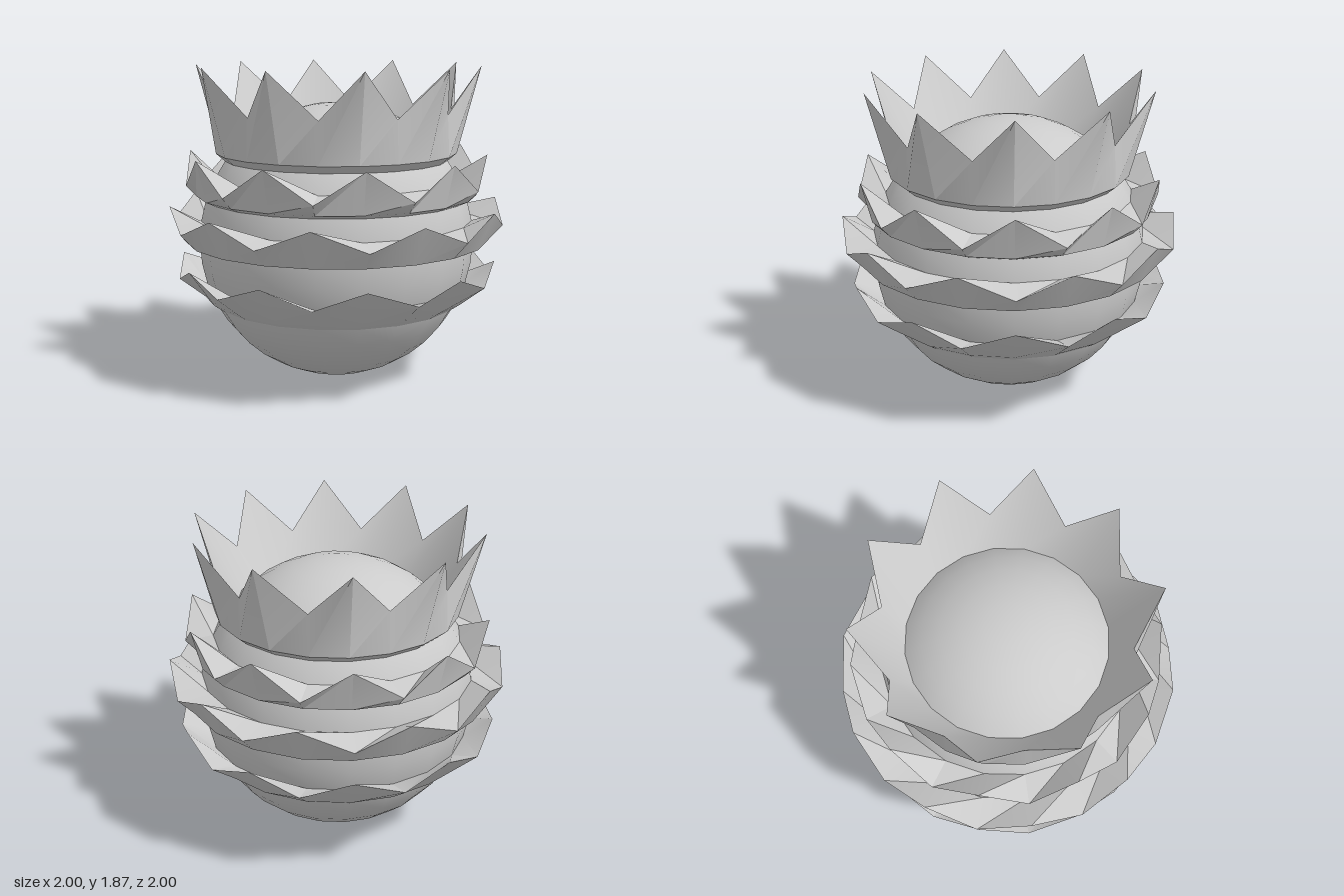
import * as THREE from 'three';
import { toCreasedNormals } from 'three/addons/utils/BufferGeometryUtils.js';

const SEG = 20;      // sides around, also rows of the ball
const R = 0.825;     // ball radius

// Point on the ball at a given row above the equator: [radius, y]
const ballRow = (k) => {
  const a = (k * Math.PI) / SEG;
  return [R * Math.cos(a), R + R * Math.sin(a)];
};

// Zigzag collar: starts on one ball row, flares out, rises to points and valleys,
// then slopes back in to the next ball row
function collarGeometry({ row, base, tip, valley, shift }) {
  const pos = [];
  for (let i = 0; i < SEG; i++) {
    const a = (i * 2 * Math.PI) / SEG;
    const rim = (i + shift) % 2 === 0 ? tip : valley;
    for (const [r, y] of [ballRow(row), base, rim, ballRow(row + 1)]) {
      pos.push(r * Math.sin(a), y, r * Math.cos(a));
    }
  }
  const index = [];
  for (let i = 0; i < SEG; i++) {
    for (let j = 0; j < 3; j++) {
      const a = i * 4 + j;
      const b = ((i + 1) % SEG) * 4 + j;
      index.push(a, b, b + 1, a, b + 1, a + 1);
    }
  }
  const geo = new THREE.BufferGeometry();
  geo.setAttribute('position', new THREE.Float32BufferAttribute(pos, 3));
  geo.setIndex(index);
  return toCreasedNormals(geo, 0.5);
}

export function createModel() {
  const group = new THREE.Group();
  const material = new THREE.MeshStandardMaterial({ color: 0xcccccc, side: THREE.DoubleSide });
  const add = (name, geo) => {
    const mesh = new THREE.Mesh(geo, material);
    mesh.name = name;
    group.add(mesh);
    return mesh;
  };

  // Round body
  const body = add('body', new THREE.SphereGeometry(R, SEG, SEG));
  body.position.y = R;
  body.rotation.y = Math.PI / 2;

  // Leafy collars from bottom to top, the last one being the tall crown
  const collars = {
    lowerCollar: { row: -3, base: [0.8, 0.495], tip: [0.955, 0.71], valley: [0.95, 0.61], shift: 0 },
    middleCollar: { row: 0, base: [0.905, 0.83], tip: [1, 1.05], valley: [1, 0.93], shift: 1 },
    upperCollar: { row: 2, base: [0.84, 1.105], tip: [0.9, 1.35], valley: [0.9, 1.17], shift: 0 },
    crown: { row: 4, base: [0.72, 1.355], tip: [0.855, 1.87], valley: [0.708, 1.6], shift: 0 },
  };
  for (const [name, spec] of Object.entries(collars)) add(name, collarGeometry(spec));

  return group;
}
